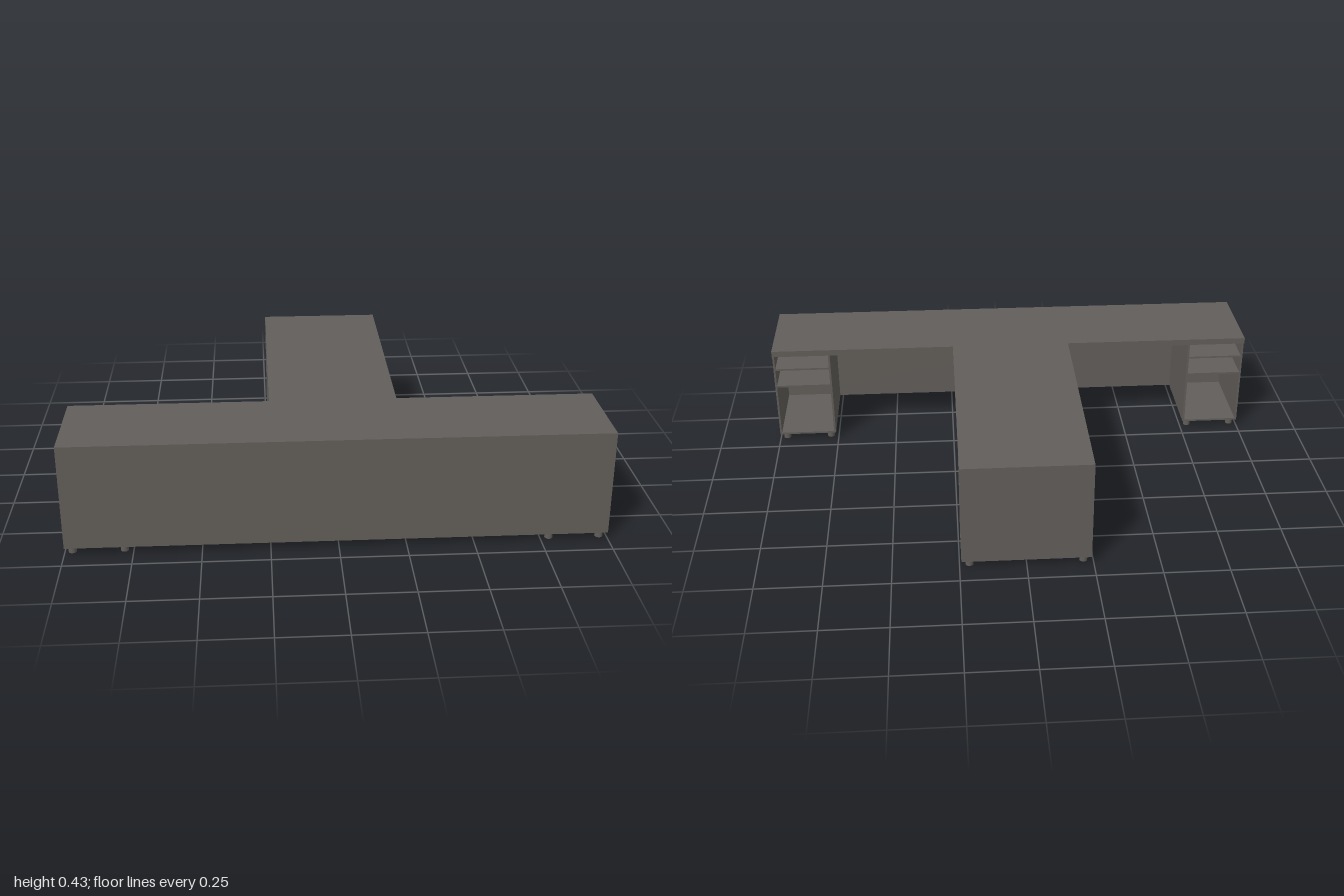
import * as THREE from 'three';

export function createModel() {
  const desk = new THREE.Group();
  desk.name = 'desk';
  const grey = new THREE.MeshStandardMaterial({ color: 0x625e5a });
  grey.name = 'warm grey';

  const BASE = 0.025, UNDER = 0.405, TOP = 0.43, T = 0.008;

  // Box given by its limits on each axis
  function board(parent, name, x0, x1, y0, y1, z0, z1) {
    const m = new THREE.Mesh(new THREE.BoxGeometry(x1 - x0, y1 - y0, z1 - z0), grey);
    m.position.set((x0 + x1) / 2, (y0 + y1) / 2, (z0 + z1) / 2);
    m.name = name;
    parent.add(m);
  }

  function foot(parent, x, z) {
    const m = new THREE.Mesh(new THREE.CylinderGeometry(0.015, 0.015, BASE, 20), grey);
    m.position.set(x, BASE / 2, z);
    m.name = 'foot';
    parent.add(m);
  }

  // T-shaped worktop (shape y becomes -z)
  const s = new THREE.Shape();
  [[-1, -0.67], [1, -0.67], [1, -0.3], [0.243, -0.3], [0.243, 0.67],
    [-0.243, 0.67], [-0.243, -0.3], [-1, -0.3]]
    .forEach(([x, y], i) => (i ? s.lineTo(x, y) : s.moveTo(x, y)));
  const topGeo = new THREE.ExtrudeGeometry(s, { depth: TOP - UNDER, bevelEnabled: false });
  topGeo.rotateX(-Math.PI / 2);
  topGeo.translate(0, UNDER, 0);
  const worktop = new THREE.Mesh(topGeo, grey);
  worktop.name = 'worktop';
  desk.add(worktop);

  // Full-width front panel
  board(desk, 'frontPanel', -1, 1, BASE, UNDER, 0.65, 0.67);

  // Side cabinets, open towards the back
  for (const side of [1, -1]) {
    const cab = new THREE.Group();
    cab.name = side > 0 ? 'leftCabinet' : 'rightCabinet';
    const across = (name, a, b, y0, y1) =>
      board(cab, name, Math.min(side * a, side * b), Math.max(side * a, side * b), y0, y1, 0.31, 0.65);
    across('outerSide', 1 - T, 1, BASE, UNDER);
    across('innerSide', 0.76, 0.76 + T, BASE, UNDER);
    across('cabinetFloor', 0.76 + T, 1 - T, BASE, BASE + T);
    for (const y of [0.335, 0.255]) across('shelf', 0.76 + T, 1 - T, y, y + T);
    for (const x of [0.783, 0.972]) for (const z of [0.333, 0.645]) foot(cab, side * x, z);
    desk.add(cab);
  }

  // End cabinet under the stem, open at both sides
  const end = new THREE.Group();
  end.name = 'endCabinet';
  const X = 0.243, Z0 = -0.67, Z1 = -0.493;
  board(end, 'backPanel', -X, X, BASE, UNDER, Z0, Z0 + T);
  board(end, 'innerPanel', -X, X, BASE, UNDER, Z1 - T, Z1);
  board(end, 'cabinetFloor', -X, X, BASE, BASE + T, Z0 + T, Z1 - T);
  board(end, 'shelf', -X, X, 0.338, 0.338 + T, Z0 + T, Z1 - T);
  for (const x of [-0.213, 0.213]) for (const z of [-0.515, -0.647]) foot(end, x, z);
  desk.add(end);

  return desk;
}
